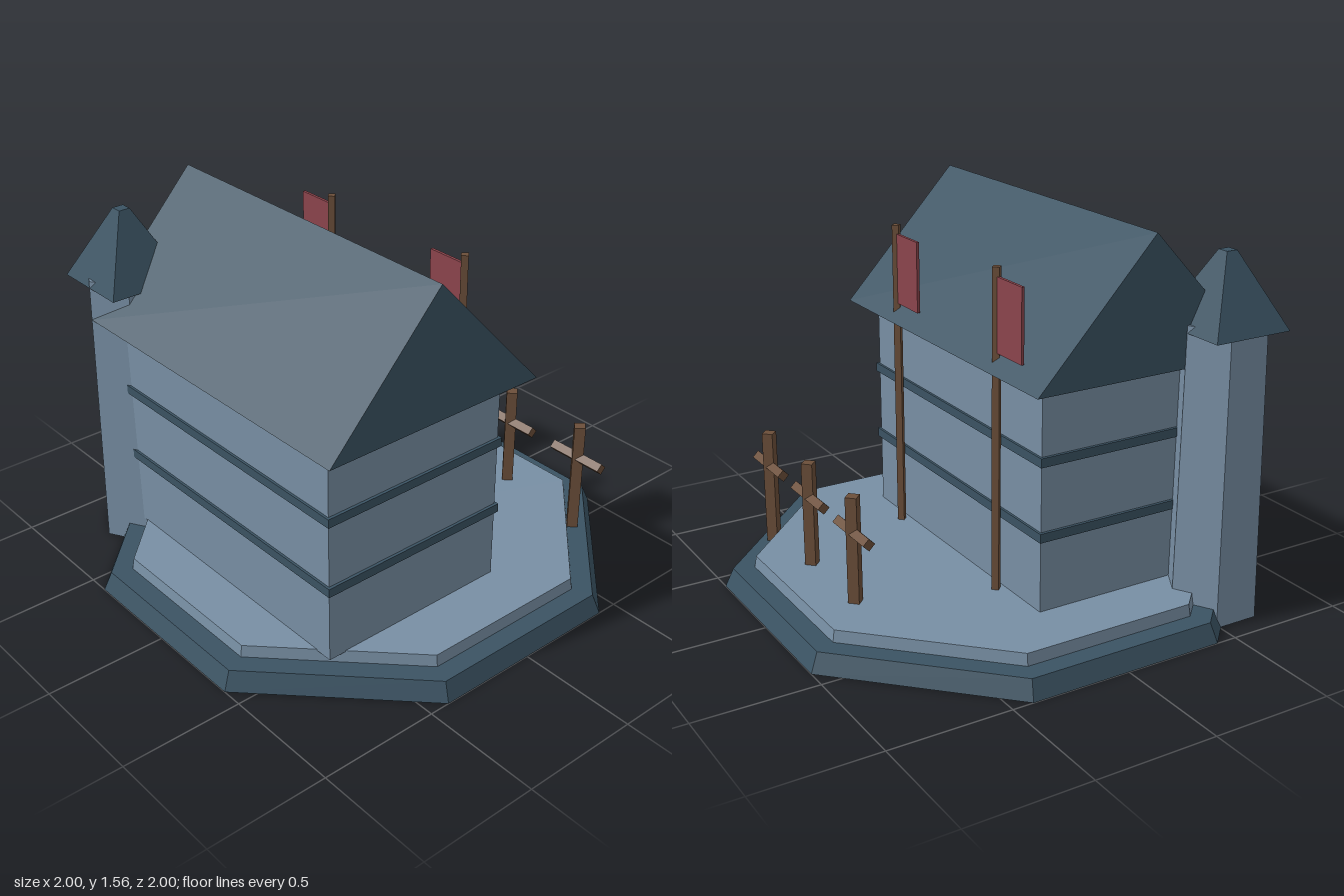
import * as THREE from 'three';

const mat = (name, color) => {
  const m = new THREE.MeshStandardMaterial({ color });
  m.name = name;
  return m;
};

// Faceted prism or frustum between two heights, with flat normals
function prism(sides, rTop, rBottom, y0, y1, turn = 0) {
  const g = new THREE.CylinderGeometry(rTop, rBottom, y1 - y0, sides);
  g.rotateY(turn);
  g.translate(0, (y0 + y1) / 2, 0);
  const flat = g.toNonIndexed();
  flat.computeVertexNormals();
  return flat;
}

export function createModel() {
  const model = new THREE.Group();
  model.name = 'house';
  const stone = mat('paleStone', 0x788fa4);
  const slate = mat('darkSlate', 0x3b5363);
  const wood = mat('wood', 0x6c4f3a);
  const cloth = mat('redCloth', 0x8b444c);

  const add = (name, geometry, material, x = 0, y = 0, z = 0, parent = model) => {
    const mesh = new THREE.Mesh(geometry, material);
    mesh.name = name;
    mesh.position.set(x, y, z);
    parent.add(mesh);
    return mesh;
  };

  // Two-step octagonal base, sized by the distance to its flat sides
  const oct = Math.cos(Math.PI / 8);
  add('lowerBase', prism(8, 0.968 / oct, 1 / oct, 0, 0.077, Math.PI / 8), slate);
  add('upperBase', prism(8, 0.88 / oct, 0.895 / oct, 0.03, 0.125, Math.PI / 8), stone);

  // Walls with two bands
  const houseZ = 0.262;
  add('walls', new THREE.BoxGeometry(1.28, 0.91, 0.836), stone, 0, 0.575, houseZ);
  for (const y of [0.434, 0.734]) {
    add('wallBand', new THREE.BoxGeometry(1.304, 0.037, 0.856), slate, 0, y, houseZ);
  }

  // Gabled roof, ridge along x
  const gable = new THREE.Shape([
    new THREE.Vector2(-0.755, 1.022),
    new THREE.Vector2(0.242, 1.022),
    new THREE.Vector2(-0.257, 1.556),
  ]);
  const roof = new THREE.ExtrudeGeometry(gable, { depth: 1.48, bevelEnabled: false });
  roof.rotateY(Math.PI / 2);
  add('roof', roof, slate, -0.74);

  // Hexagonal corner tower with a blunt square roof
  const tower = new THREE.Group();
  tower.name = 'tower';
  tower.position.set(-0.742, 0, 0.58);
  model.add(tower);
  add('towerWall', prism(6, 0.172, 0.19, 0, 1.19), stone, 0, 0, 0, tower);
  const towerRoof = prism(4, 0.024 * Math.SQRT2, 0.172 * Math.SQRT2, 1.16, 1.455, Math.PI / 4);
  add('towerRoof', towerRoof, slate, 0, 0, 0, tower);

  // Flags on tall poles behind the house
  for (const x of [-0.385, 0.39]) {
    const flag = new THREE.Group();
    flag.name = 'flag';
    flag.position.set(x, 0, -0.194);
    model.add(flag);
    add('flagPole', prism(4, 0.02, 0.02, 0.125, 1.416), wood, 0, 0, 0, flag);
    add('flagCloth', new THREE.BoxGeometry(0.18, 0.29, 0.012), cloth, -0.09, 1.235, 0, flag);
  }

  // Row of wooden crosses
  for (const x of [-0.2, 0.19, 0.577]) {
    const cross = new THREE.Group();
    cross.name = 'cross';
    cross.position.set(x, 0, -0.71);
    model.add(cross);
    add('crossPost', prism(4, 0.032, 0.032, 0.076, 0.562), wood, 0, 0, 0, cross);
    const bar = prism(4, 0.025, 0.025, -0.13, 0.13);
    bar.rotateZ(Math.PI / 2);
    add('crossBar', bar, wood, 0, 0.412, 0, cross);
  }

  return model;
}
